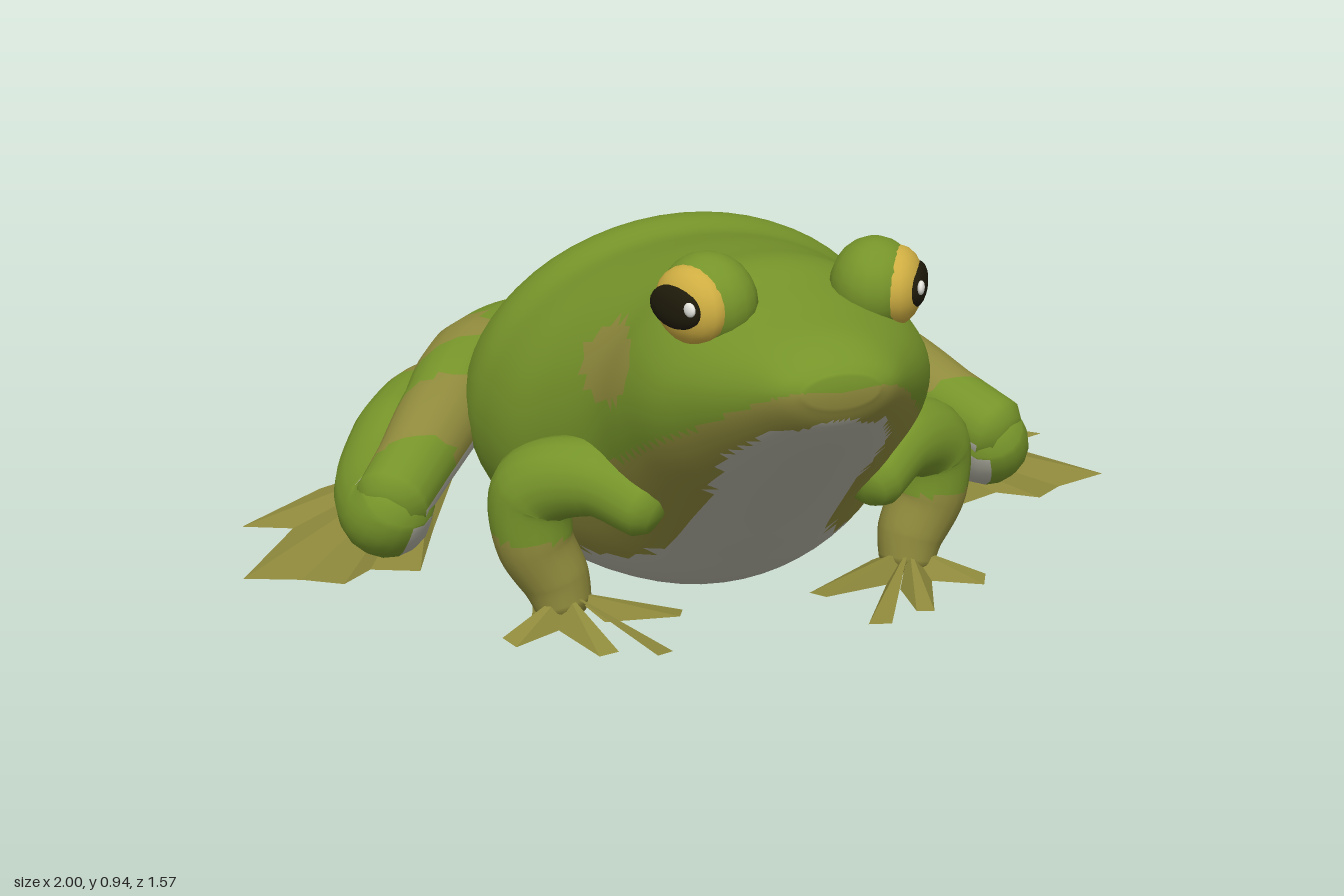
import * as THREE from 'three';

const paint = (name, color) => Object.assign(new THREE.MeshStandardMaterial({ color }), { name });
const V = (x, y, z) => new THREE.Vector3(x, y, z);
const GREEN = 0, OLIVE = 1, PALE = 2;

// Skins a list of closed rings; rule(centre, normal) picks a material for each face
function skin(rings, startTip, endTip, rule) {
  const n = rings[0].length;
  const pts = [...rings.flat(), startTip, endTip];
  const first = pts.length - 2, last = pts.length - 1, tris = [];
  for (let j = 0; j < n; j++) {
    const k = (j + 1) % n, end = (rings.length - 1) * n;
    tris.push([first, k, j], [last, end + j, end + k]);
    for (let i = 0; i < rings.length - 1; i++) {
      const a = i * n + j, b = i * n + k, c = a + n, d = b + n;
      tris.push([a, b, c], [b, d, c]);
    }
  }
  // Turn the faces outward
  const volume = tris.reduce((s, [a, b, c]) => s + pts[a].dot(V().crossVectors(pts[b], pts[c])), 0);
  if (volume < 0) tris.forEach((t) => t.reverse());
  const buckets = [[], [], []];
  for (const t of tris) {
    const [a, b, c] = t.map((i) => pts[i]);
    const centre = a.clone().add(b).add(c).divideScalar(3);
    const normal = b.clone().sub(a).cross(c.clone().sub(a)).normalize();
    buckets[rule(centre, normal)].push(...t);
  }
  const geo = new THREE.BufferGeometry().setFromPoints(pts);
  geo.setIndex(buckets.flat());
  let start = 0;
  buckets.forEach((b, m) => {
    if (b.length) geo.addGroup(start, b.length, m);
    start += b.length;
  });
  geo.computeVertexNormals();
  return geo;
}

// Tapered limb through [x, y, z, radius] stations
function limb(stations, rule, steps = 40, sides = 18) {
  const curve = new THREE.CatmullRomCurve3(stations.map((s) => V(s[0], s[1], s[2])));
  const rings = [];
  let side = V(0.3, 1, 0.2);
  let startTip, endTip;
  for (let i = 0; i <= steps; i++) {
    const t = i / steps, f = t * (stations.length - 1);
    const k = Math.min(Math.floor(f), stations.length - 2);
    const r = THREE.MathUtils.lerp(stations[k][3], stations[k + 1][3], f - k);
    const p = curve.getPoint(t), dir = curve.getTangent(t);
    side = side.clone().addScaledVector(dir, -side.dot(dir)).normalize();
    const up = V().crossVectors(dir, side);
    const ring = (rad, shift) => Array.from({ length: sides }, (_, j) => {
      const a = (j / sides) * Math.PI * 2;
      return p.clone().addScaledVector(dir, shift)
        .addScaledVector(side, Math.cos(a) * rad).addScaledVector(up, Math.sin(a) * rad);
    });
    if (i === 0) {
      startTip = p.clone().addScaledVector(dir, -r * 0.6);
      rings.push(ring(r * 0.7, -r * 0.4));
    }
    rings.push(ring(r, 0));
    if (i === steps) {
      endTip = p.clone().addScaledVector(dir, r * 0.5);
      rings.push(ring(r * 0.7, r * 0.35));
    }
  }
  return skin(rings, startTip, endTip, rule);
}

// Thin webbed foot: a faceted fan from a raised hub, olive above and pale below
function foot(hub, under, outline) {
  const pos = [];
  for (const [h, sign] of [[hub, 1], [V(hub.x, under, hub.z), -1]]) {
    outline.forEach((o, i) => {
      const q = outline[(i + 1) % outline.length];
      const a = V(o[0], o[2], o[1]), b = V(q[0], q[2], q[1]);
      const up = V().crossVectors(a.clone().sub(h), b.clone().sub(h)).y;
      const tri = up * sign > 0 ? [h, a, b] : [h, b, a];
      tri.forEach((p) => pos.push(p.x, p.y, p.z));
    });
  }
  const geo = new THREE.BufferGeometry();
  geo.setAttribute('position', new THREE.Float32BufferAttribute(pos, 3));
  geo.addGroup(0, outline.length * 3, OLIVE);
  geo.addGroup(outline.length * 3, outline.length * 3, PALE);
  geo.computeVertexNormals();
  return geo;
}

// Linear lookup in a table of [key, value] with falling keys
function lookup(table, key) {
  for (let i = 0; i < table.length - 1; i++) {
    const [k0, v0] = table[i], [k1, v1] = table[i + 1];
    if (key <= k0 && key >= k1) return v0 + ((v1 - v0) * (key - k0)) / (k1 - k0);
  }
  return key > table[0][0] ? table[0][1] : table[table.length - 1][1];
}

function bodyGeometry() {
  // z, top, bottom, height of widest point, half width
  const stations = [
    [0.785, 0.775, 0.715, 0.745, 0.07], [0.76, 0.8, 0.67, 0.74, 0.115], [0.7, 0.828, 0.61, 0.72, 0.165],
    [0.6, 0.845, 0.52, 0.69, 0.235], [0.5, 0.862, 0.43, 0.65, 0.287], [0.38, 0.88, 0.32, 0.6, 0.315],
    [0.25, 0.86, 0.2, 0.53, 0.34], [0.1, 0.835, 0.07, 0.46, 0.4], [-0.02, 0.808, 0.02, 0.42, 0.455],
    [-0.12, 0.79, 0.005, 0.4, 0.48], [-0.24, 0.798, 0.02, 0.39, 0.49], [-0.4, 0.7, 0.06, 0.38, 0.45],
    [-0.55, 0.59, 0.12, 0.37, 0.345], [-0.65, 0.5, 0.22, 0.37, 0.2], [-0.7, 0.42, 0.32, 0.37, 0.06],
  ];
  const spline = (pick) => new THREE.CatmullRomCurve3(stations.map(pick), false, 'catmullrom', 0.5);
  const heights = spline((s) => V(s[0], s[1], s[2]));
  const widths = spline((s) => V(s[0], s[3], s[4]));
  const rings = [], steps = 70, sides = 60;
  for (let i = 0; i <= steps; i++) {
    const h = heights.getPoint(i / steps), w = widths.getPoint(i / steps);
    rings.push(Array.from({ length: sides }, (_, j) => {
      const a = (j / sides) * Math.PI * 2, s = Math.sin(a);
      return V(Math.cos(a) * w.z, w.y + s * (s > 0 ? h.y - w.y : w.y - h.z), h.x);
    }));
  }
  const oliveTop = [[0.78, 0.75], [0.7, 0.7], [0.6, 0.63], [0.4, 0.51], [0.2, 0.4], [0, 0.22], [-0.2, 0.14], [-0.7, 0.1]];
  const bellyWidth = [[0.76, 0.04], [0.72, 0.11], [0.6, 0.165], [0.4, 0.15], [0.28, 0.16], [0.18, 0.2], [0.08, 0.28], [-0.02, 0.34], [-0.35, 0.35], [-0.65, 0.12]];
  const bellyTop = [[0.78, 0.69], [0.6, 0.6], [0.3, 0.4], [0, 0.2], [-0.3, 0.2], [-0.7, 0.32]];
  return skin(rings, V(0, 0.745, 0.787), V(0, 0.37, -0.705), (p) => {
    if (p.y < lookup(bellyTop, p.z) && Math.abs(p.x) < lookup(bellyWidth, p.z)) return PALE;
    if (p.y < lookup(oliveTop, p.z)) return OLIVE;
    return Math.hypot((p.z - 0.29) / 0.115, (p.y - 0.665) / 0.075) < 1 ? OLIVE : GREEN;
  });
}

export function createModel() {
  const skins = [paint('green skin', 0x76942a), paint('olive skin', 0x8f8a3c), paint('pale belly', 0xb2b1a3)];
  const gold = paint('gold iris', 0xcfae42), dark = paint('dark pupil', 0x1e1a0a), white = paint('white glint', 0xe8e8e0);
  const model = new THREE.Group();
  model.name = 'frog';
  const add = (parent, name, geo, mat = skins) => {
    const mesh = new THREE.Mesh(geo, mat);
    mesh.name = name;
    parent.add(mesh);
    return mesh;
  };
  add(model, 'body', bodyGeometry());

  // Limb shapes for the left side
  const arm = limb([
    [0.24, 0.36, 0.32, 0.065], [0.33, 0.405, 0.24, 0.08], [0.43, 0.36, 0.155, 0.09],
    [0.435, 0.25, 0.15, 0.083], [0.395, 0.16, 0.16, 0.073], [0.38, 0.1, 0.175, 0.06],
  ], (p) => (p.y < 0.265 ? OLIVE : GREEN));
  const hand = foot(V(0.38, 0.14, 0.19), 0.07, [
    [0.43, 0.1, 0.075], [0.33, 0.1, 0.075], [0.14, 0.23, 0.08], [0.16, 0.28, 0.09], [0.31, 0.24, 0.08],
    [0.21, 0.4, 0.075], [0.25, 0.43, 0.085], [0.33, 0.27, 0.08], [0.32, 0.39, 0.085], [0.36, 0.39, 0.08],
    [0.41, 0.25, 0.08], [0.51, 0.3, 0.08], [0.53, 0.26, 0.085], [0.45, 0.18, 0.08],
  ]);
  const inside = (p, n) => n.y < -0.25 && n.x < -0.3 && p.z > -0.45;
  const thigh = limb([
    [0.1, 0.36, -0.58, 0.13], [0.27, 0.365, -0.61, 0.145], [0.41, 0.375, -0.49, 0.135],
    [0.52, 0.365, -0.32, 0.1], [0.62, 0.31, -0.17, 0.085], [0.69, 0.27, -0.07, 0.08],
  ], (p, n) => {
    if (inside(p, n)) return PALE;
    const band = (p.z < -0.43 && p.z > -0.57 && p.x > 0.38) || (p.z < -0.14 && p.z > -0.3);
    return band && n.y > -0.3 ? OLIVE : GREEN;
  });
  const shin = limb([
    [0.67, 0.28, -0.08, 0.08], [0.69, 0.225, -0.12, 0.095], [0.675, 0.22, -0.28, 0.105], [0.6, 0.26, -0.45, 0.11],
    [0.52, 0.285, -0.6, 0.088], [0.46, 0.26, -0.7, 0.072], [0.46, 0.17, -0.71, 0.065], [0.475, 0.11, -0.69, 0.045],
  ], (p, n) => (p.z < -0.59 ? OLIVE : inside(p, n) ? PALE : GREEN));
  const webbedFoot = foot(V(0.49, 0.13, -0.66), 0.078, [
    [0.42, -0.72, 0.08], [0.47, -0.76, 0.08], [0.57, -0.72, 0.09], [0.77, -0.6, 0.1], [0.97, -0.43, 0.1],
    [0.86, -0.41, 0.09], [1, -0.15, 0.1], [0.88, -0.13, 0.09], [0.8, -0.06, 0.1], [0.73, -0.15, 0.085],
    [0.63, -0.1, 0.09], [0.56, -0.32, 0.085],
  ]);

  for (const [label, s] of [['left', 1], ['right', -1]]) {
    const half = new THREE.Group();
    half.name = `${label} limbs and eye`;
    half.scale.x = s;
    model.add(half);
    add(half, `${label} front leg`, arm);
    add(half, `${label} front foot`, hand);
    add(half, `${label} thigh`, thigh);
    add(half, `${label} shin`, shin);
    add(half, `${label} hind foot`, webbedFoot);

    // Eye, facing outward and a little forward along its own z
    const eye = new THREE.Group();
    eye.name = `${label} eye`;
    eye.position.set(0.165, 0.848, 0.5);
    eye.rotation.set(0, 1.07, 0);
    half.add(eye);
    const ball = (name, mat, r, scale, at) => {
      const m = add(eye, name, new THREE.SphereGeometry(r, 18, 12), mat);
      m.scale.set(...scale);
      m.position.set(...at);
    };
    ball('eyelid', skins[GREEN], 0.1, [1, 0.92, 0.85], [0, 0, 0]);
    ball('iris', gold, 0.085, [1, 0.9, 0.6], [0, 0, 0.045]);
    ball('pupil', dark, 0.065, [1, 0.65, 0.3], [0.005, 0.003, 0.083]);
    ball('glint', white, 0.014, [1, 1, 0.5], [-0.045, 0.012, 0.096]);
  }
  return model;
}
